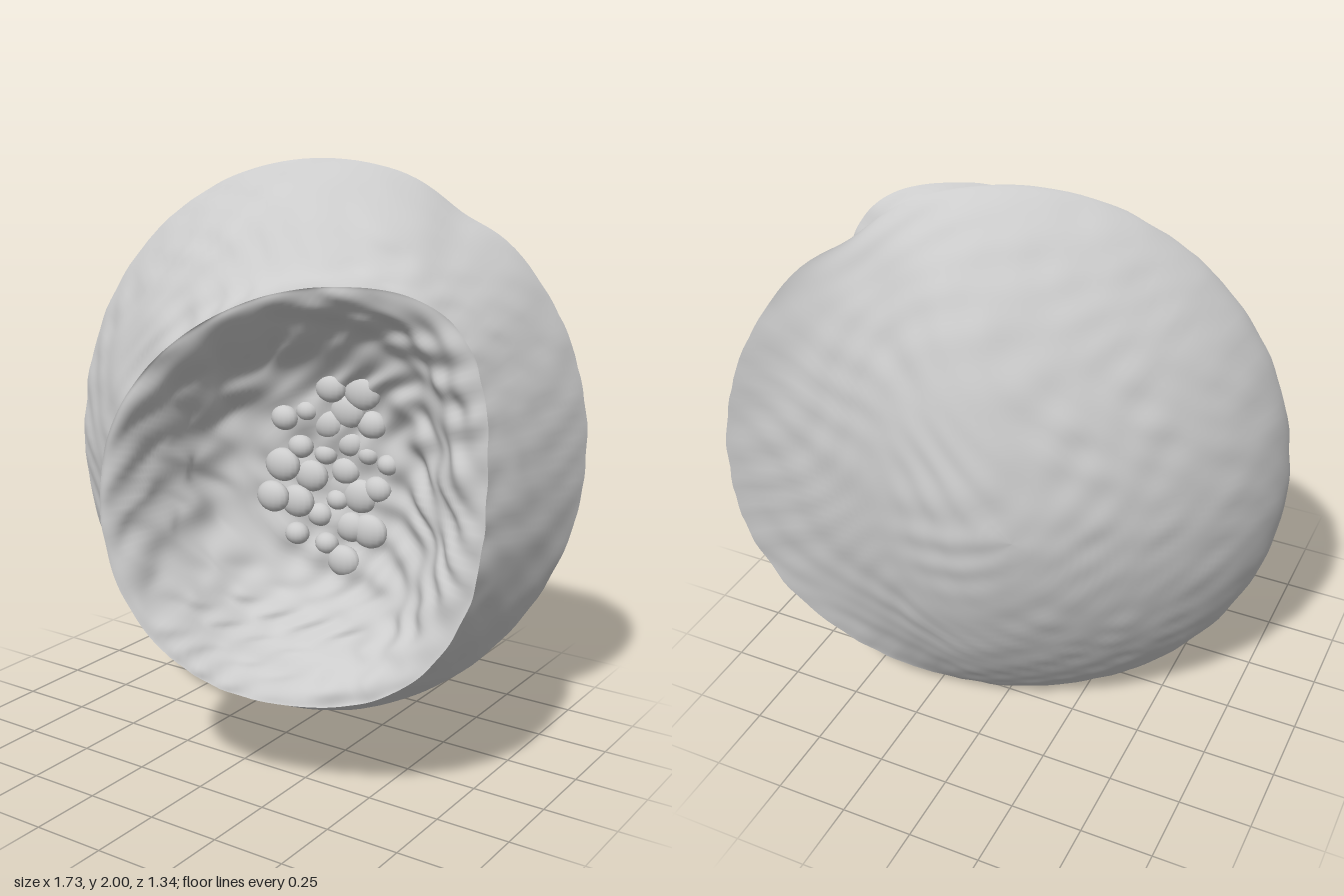
import * as THREE from 'three';

const SEG = 160;
const material = new THREE.MeshStandardMaterial({ color: 0xcccccc, side: THREE.DoubleSide });

// Cross-sections: left x, right x, bottom y, top y, z at x = 0, slope of z along x,
// sideways skew at the bottom and top, squareness, forward bow and backward tilt of top
const RIM = [-0.865, 0.81, 0, 2.0, -0.31, -0.42, 0, 0, 1, 0.055, 0.025];
const LIP = [-0.25, 0.86, 0.355, 1.67, 0.56, -0.41, 0.04, 0.15, 0.88, 0, 0.03];
const OUTSIDE = [
  RIM,
  [-0.62, 0.72, 0.16, 1.81, -0.07, -0.41, 0.01, 0.02, 0.97, 0.02, 0.02],
  [-0.43, 0.645, 0.30, 1.66, 0.095, -0.415, 0.03, 0.06, 0.92, 0, 0.02],
  [-0.34, 0.625, 0.36, 1.615, 0.24, -0.40, 0.04, 0.10, 0.89, 0, 0.02],
  [-0.275, 0.70, 0.37, 1.63, 0.39, -0.41, 0.04, 0.13, 0.88, 0, 0.03],
  LIP,
];
const INSIDE = [
  LIP,
  [-0.21, 0.77, 0.42, 1.61, 0.525, -0.41, 0.04, 0.13, 0.88, 0, 0.02],
  [-0.15, 0.62, 0.53, 1.48, 0.35, -0.38, 0.03, 0.09, 0.9, 0, 0.01],
  [-0.07, 0.49, 0.69, 1.31, 0.21, -0.30, 0.02, 0.03, 0.95, 0, 0],
  [0.25, 0.25, 1.0, 1.0, 0.17, -0.30, 0, 0, 1, 0, 0],
];

// Smooth blend through the listed cross-sections, t from 0 to 1
function section(list, t) {
  const n = list.length - 1;
  const i = Math.min(Math.floor(t * n), n - 1);
  const f = t * n - i;
  const at = (k) => list[Math.max(0, Math.min(n, k))];
  return at(i).map((b, k) => {
    const a = at(i - 1)[k], c = at(i + 1)[k], d = at(i + 2)[k];
    return b + 0.5 * f * (c - a + f * (2 * a - 5 * b + 4 * c - d + f * (3 * (b - c) + d - a)));
  });
}

function ringPoint(s, angle) {
  const [x0, x1, y0, y1, z0, slope, skewLow, skewHigh, power, bow, tilt] = s;
  const bend = (v) => Math.sign(v) * Math.abs(v) ** power;
  const u = bend(Math.cos(angle)), v = bend(Math.sin(angle));
  const x = (x0 + x1) / 2 + u * (x1 - x0) / 2 + (v > 0 ? skewHigh : skewLow) * v * v;
  const y = (y0 + y1) / 2 + v * (y1 - y0) / 2;
  return new THREE.Vector3(x, y, z0 + slope * x + bow * v * v - tilt * v);
}

// Edge of the head, with a shallow notch at the upper left
function rimPoint(angle) {
  const p = ringPoint(RIM, angle);
  const notch = 0.03 * Math.exp(-(((angle - 1.02) / 0.13) ** 2));
  p.x -= Math.cos(angle) * notch;
  p.y -= Math.sin(angle) * notch;
  return p;
}

// Fine uneven bone surface: small bumps and pits in all directions
function roughen(p, amount) {
  const { x, y, z } = p;
  const n = Math.sin(31 * x + 3 * Math.sin(7 * y)) * Math.sin(33 * y + 3 * Math.sin(8 * x + 5 * z)) * Math.cos(23 * z + 2 * x);
  const m = Math.sin(29 * y + 2 * Math.sin(9 * z)) * Math.sin(27 * z + 2 * Math.sin(6 * y));
  p.x += amount * 0.6 * m;
  p.z += amount * n;
  return p;
}

// Closed-loop surface from point(t, angle)
function loft(name, rows, point) {
  const positions = [], index = [];
  for (let i = 0; i <= rows; i++) {
    for (let j = 0; j < SEG; j++) {
      const p = point(i / rows, (j / SEG) * Math.PI * 2);
      positions.push(p.x, p.y, p.z);
      if (i === rows) continue;
      const k = (j + 1) % SEG;
      const a = i * SEG + j, b = i * SEG + k, c = a + SEG, d = b + SEG;
      index.push(a, b, d, a, d, c);
    }
  }
  const geometry = new THREE.BufferGeometry();
  geometry.setAttribute('position', new THREE.Float32BufferAttribute(positions, 3));
  geometry.setIndex(index);
  geometry.computeVertexNormals();
  const mesh = new THREE.Mesh(geometry, material);
  mesh.name = name;
  return mesh;
}

export function createModel() {
  const group = new THREE.Group();
  group.name = 'boneHead';

  // Rounded back, dished towards its left edge
  const crown = new THREE.Vector3(-0.2, 1, -0.22);
  group.add(loft('headDome', 50, (t, angle) => {
    const s = Math.sin(t * Math.PI / 2);
    const p = crown.clone().lerp(rimPoint(angle), s);
    const side = Math.max(0, Math.cos(angle)), up = Math.sin(angle);
    const falloff = 0.58 + 2.1 * side ** 2 + (up > 0 ? 0.16 : 0.3) * up * up;
    p.z -= 0.41 * Math.max(0, 1 - s * s) ** falloff;
    return roughen(p, 0.005);
  }));

  // Front of the head narrowing to the neck, then flaring to the lip
  group.add(loft('neck', 70, (t, angle) => {
    const p = ringPoint(section(OUTSIDE, t), angle);
    const edge = rimPoint(angle).sub(ringPoint(RIM, angle));
    p.addScaledVector(edge, Math.max(0, 1 - t * 4));
    return roughen(p, 0.005 + 0.008 * Math.sin(t * Math.PI));
  }));

  // Hollow of the neck
  group.add(loft('hollow', 60, (t, angle) =>
    roughen(ringPoint(section(INSIDE, t), angle), 0.005 + 0.02 * Math.sin(t * Math.PI))));

  // Spongy nodules half sunk in the floor of the hollow, along a sunflower spiral
  const nodule = new THREE.SphereGeometry(1, 16, 12);
  for (let i = 0; i < 26; i++) {
    const r = Math.sqrt((i + 0.5) / 26), turn = i * 2.4;
    const x = 0.26 + 0.2 * r * Math.cos(turn);
    const y = 1.03 + 0.32 * r * Math.sin(turn);
    const size = 0.046 + 0.012 * Math.sin(i * 5.3);
    const mesh = new THREE.Mesh(nodule, material);
    mesh.name = 'nodule';
    mesh.position.set(x, y, 0.16 - 0.3 * x + 0.04 * r * r);
    mesh.scale.set(size * 1.15, size, 0.036);
    group.add(mesh);
  }
  return group;
}
